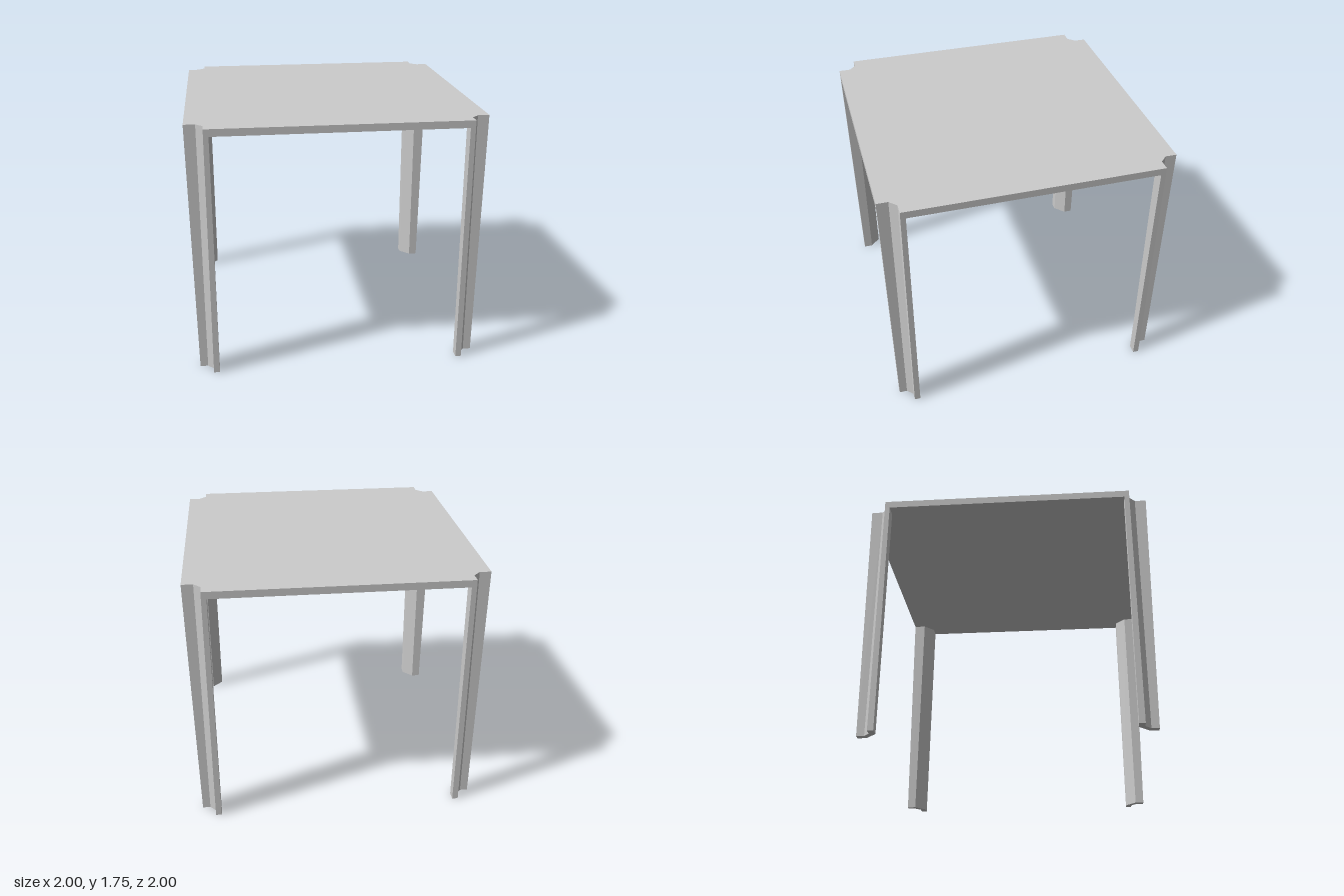
import * as THREE from 'three';

const HEIGHT = 1.75, SLAB_BOTTOM = 1.7, INNER = 0.84;

// Recessed corner outline [x, z] at height y; it narrows towards the floor
function notch(y) {
  const t = y / HEIGHT, lerp = THREE.MathUtils.lerp;
  const outer = lerp(0.975, 1, t), wall = lerp(0.881, 0.874, t), bend = 0.922;
  return [[wall, outer], [wall, bend], [bend, wall], [outer, wall]];
}

// Channel-shaped leg section: the recess outside, a chamfered corner inside
function legSection(y) {
  const corner = notch(y), outer = corner[0][1], bend = 0.913;
  return [...corner, [outer, INNER], [bend, INNER], [INNER, bend], [INNER, outer]];
}

// Square outline with the recess repeated at all four corners
function slabSection(y) {
  const points = [];
  let corner = notch(y);
  for (let i = 0; i < 4; i++) {
    points.push(...corner);
    corner = corner.map(([x, z]) => [z, -x]);
  }
  return points;
}

// Closed solid between the sections at heights y0 and y1
function loft(section, y0, y1) {
  const place = (y) => section(y).map(([x, z]) => [x, y, z]);
  const low = place(y0), high = place(y1), pos = [];
  const tri = (a, b, c) => pos.push(...a, ...b, ...c);
  low.forEach((a, i) => {
    const j = (i + 1) % low.length;
    tri(a, low[j], high[j]);
    tri(a, high[j], high[i]);
  });
  const outline = high.map(([x, , z]) => new THREE.Vector2(x, -z));
  for (const [a, b, c] of THREE.ShapeUtils.triangulateShape(outline, [])) {
    tri(high[a], high[b], high[c]);
    tri(low[c], low[b], low[a]);
  }
  const geometry = new THREE.BufferGeometry();
  geometry.setAttribute('position', new THREE.Float32BufferAttribute(pos, 3));
  geometry.computeVertexNormals();
  return geometry;
}

export function createModel() {
  const table = new THREE.Group();
  table.name = 'table';
  const material = new THREE.MeshStandardMaterial({ color: 0xcccccc, flatShading: true });

  // Table top
  const top = new THREE.Mesh(loft(slabSection, SLAB_BOTTOM, HEIGHT), material);
  top.name = 'tableTop';
  table.add(top);

  // Four legs, turned a quarter each
  const legGeometry = loft(legSection, 0, SLAB_BOTTOM);
  ['frontLeftLeg', 'backLeftLeg', 'backRightLeg', 'frontRightLeg'].forEach((name, i) => {
    const leg = new THREE.Mesh(legGeometry, material);
    leg.name = name;
    leg.rotation.y = i * Math.PI / 2;
    table.add(leg);
  });
  return table;
}
